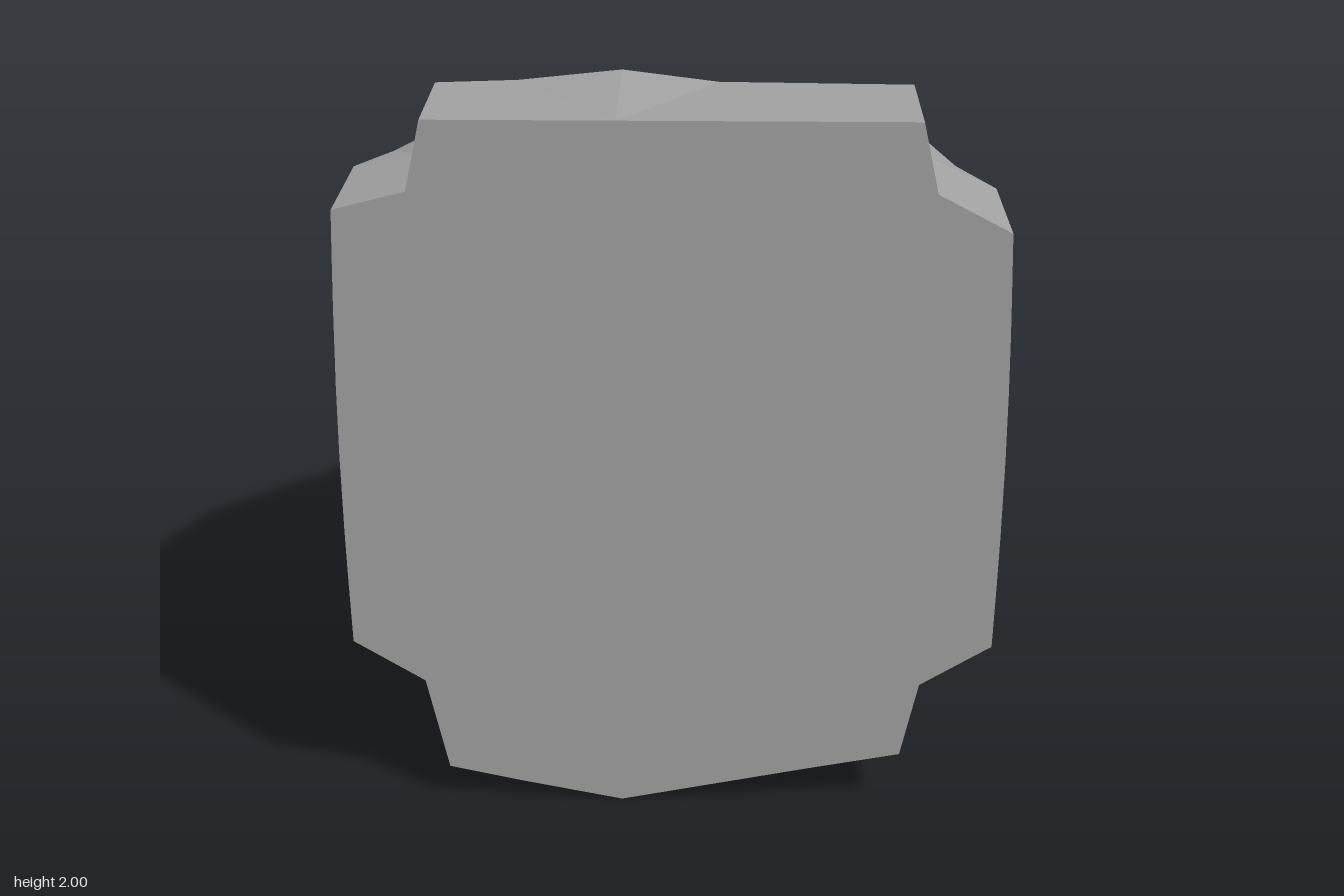
import * as THREE from 'three';

const FRONT = 0.96;
const COLUMNS = [-0.64, -0.42, -0.14, 0.12, 0.38, 0.62];
const RIM = COLUMNS.map(() => FRONT);

// Horizontal sections from bottom to top: height y, depth z across the six
// columns (x only where they are drawn in to the snout), and, where the side
// flanks exist, the depth of the right-hand and left-hand flank bend.
// bowl lifts the ends of a section, drop lowers its left-hand half.
const SECTIONS = [
  { y: 0.00, z: RIM, bowl: 0.2 },
  { y: 0.07, z: [0.60, 0.50, 0.48, 0.50, 0.56, 0.66], bowl: 0.2 },
  { y: 0.22, z: [0.42, 0.24, 0.19, 0.26, 0.42, 0.62], bowl: 0.08 },
  { y: 0.38, z: [0.18, -0.06, 0.00, 0.12, 0.30, 0.57] },
  { y: 0.49, z: [0.06, -0.09, 0.08, 0.22, 0.31, 0.52], flank: [0.46, 0.59] },
  { y: 0.67, x: [-0.64, -0.35, -0.09, 0.15, 0.40, 0.64],
    z: [-0.05, -0.11, 0.10, 0.03, 0.20, 0.40], flank: [0.30, 0.51] },
  { y: 0.82, x: [-0.64, -0.40, -0.11, 0.14, 0.40, 0.63],
    z: [-0.09, -0.11, -0.21, -0.12, 0.07, 0.20], flank: [0.25, 0.36] },
  { y: 1.04, x: [-0.64, -0.42, -0.19, 0.09, 0.41, 0.61],
    z: [-0.10, -0.25, -0.74, -0.60, -0.13, -0.02], flank: [0.22, 0.18] },
  { y: 1.24, x: [-0.65, -0.32, -0.12, 0.04, 0.43, 0.62],
    z: [-0.16, -0.68, -0.96, -0.93, -0.46, -0.05], flank: [0.22, 0.17] },
  { y: 1.46, x: [-0.64, -0.45, -0.12, 0.10, 0.29, 0.61],
    z: [-0.15, -0.40, -0.90, -0.70, -0.67, -0.03], flank: [0.23, 0.18], drop: 0.12 },
  { y: 1.59, z: [-0.05, -0.29, -0.51, -0.40, -0.28, -0.01], flank: [0.26, 0.21], drop: 0.19 },
  { y: 1.73, z: [0.09, -0.14, -0.06, 0.03, 0.07, 0.09], flank: [0.42, 0.36], drop: 0.07 },
  { y: 1.84, z: [0.44, 0.29, 0.28, 0.31, 0.36, 0.44] },
  { y: 1.97, z: [0.59, 0.56, 0.56, 0.57, 0.58, 0.59] },
  { y: 1.97, z: RIM },
];
const LOWER_NOTCH = 3, UPPER_NOTCH = 12, TOP_BACK = 13;
const NOTCH_Y = { [LOWER_NOTCH]: 0.37, [UPPER_NOTCH]: 1.78 };

// One side of a section, from the edge column out to the front rim.
function sidePoints(section, side, edge) {
  if (section.flank) {
    const bend = section.flank[side < 0 ? 0 : 1];
    const x = 0.87 + 0.012 * Math.cos((edge.y - 1.1) * 2.5);
    return [
      new THREE.Vector3(side * 0.78, edge.y, bend),
      new THREE.Vector3(side * x, edge.y, 0.57),
      new THREE.Vector3(side * (x + 0.003), edge.y, FRONT),
    ];
  }
  // Corner notches: the side folds straight forward to the rim
  return [0.35, 0.7, 1].map((t) =>
    new THREE.Vector3(edge.x, edge.y, THREE.MathUtils.lerp(edge.z, FRONT, t)));
}

function sectionPoints(section, index) {
  const { y, x = COLUMNS, z, bowl = 0, drop = 0, flank } = section;
  const inner = x.map((px, j) => {
    const offset = px + 0.14;
    return new THREE.Vector3(px, y + bowl * Math.abs(offset) - drop * Math.max(0, offset), z[j]);
  });
  const ends = [inner[0], inner[inner.length - 1]];
  if (!flank) {
    // Slanted walls of the corner notches
    const notchY = NOTCH_Y[index < TOP_BACK / 2 ? LOWER_NOTCH : UPPER_NOTCH];
    for (const p of ends) {
      p.y = NOTCH_Y[index] ?? p.y;
      p.x = Math.sign(p.x) * (0.68 - 0.22 * Math.abs(p.y - notchY));
    }
  }
  // Low peak at the back of the top
  if (index === TOP_BACK) inner[2].y += 0.03;
  return [
    ...sidePoints(section, -1, ends[0]).reverse(),
    ...inner,
    ...sidePoints(section, 1, ends[1]),
  ];
}

function facetedGeometry(triangles) {
  const positions = [];
  const triangle = new THREE.Triangle();
  for (const [a, b, c] of triangles) {
    if (triangle.set(a, b, c).getArea() < 1e-6) continue;
    for (const p of [a, b, c]) positions.push(p.x, p.y, p.z);
  }
  const geometry = new THREE.BufferGeometry();
  geometry.setAttribute('position', new THREE.Float32BufferAttribute(positions, 3));
  geometry.computeVertexNormals();
  return geometry;
}

export function createModel() {
  const group = new THREE.Group();
  group.name = 'rockOutcrop';
  const material = new THREE.MeshStandardMaterial({ color: 0xa1a1a1, flatShading: true });
  const rows = SECTIONS.map(sectionPoints);
  const last = rows[0].length - 1;

  // Faceted body reaching back to the snout
  const bodyTriangles = [];
  for (let i = 0; i < rows.length - 1; i++) {
    for (let j = 0; j < last; j++) {
      const a = rows[i][j], b = rows[i][j + 1];
      const c = rows[i + 1][j + 1], d = rows[i + 1][j];
      // Split each quad along its shorter diagonal
      if (a.distanceTo(c) < b.distanceTo(d)) bodyTriangles.push([a, d, c], [a, c, b]);
      else bodyTriangles.push([a, d, b], [b, d, c]);
    }
  }
  const body = new THREE.Mesh(facetedGeometry(bodyTriangles), material);
  body.name = 'rockBody';

  // Flat front face closing the rim
  const rim = [
    ...rows[0],
    ...rows.slice(1, -1).map((row) => row[last]),
    ...rows[rows.length - 1].slice().reverse(),
    ...rows.slice(1, -1).map((row) => row[0]).reverse(),
  ];
  const centre = new THREE.Vector3(0, 1, FRONT);
  const faceTriangles = rim.map((p, k) => [centre, p, rim[(k + 1) % rim.length]]);
  const face = new THREE.Mesh(facetedGeometry(faceTriangles), material);
  face.name = 'flatFrontFace';

  group.add(body, face);
  return group;
}
